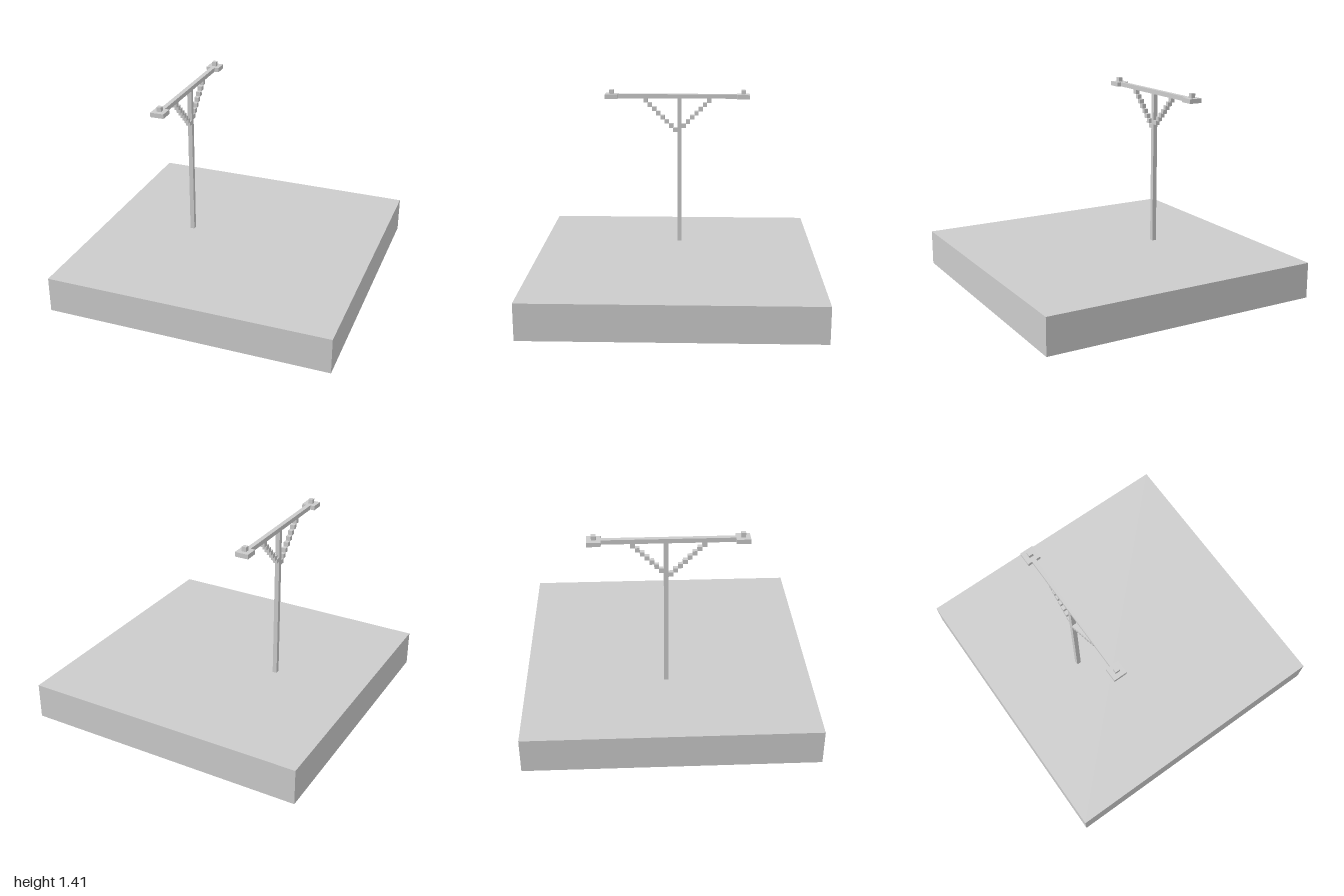
import * as THREE from 'three';

const V = 1 / 32; // one block of the grid
const material = new THREE.MeshStandardMaterial({ color: 0xcccccc, flatShading: true });

// Box given by its lowest corner and size, all in blocks
function block(name, [x, y, z], [w, h, d]) {
  const mesh = new THREE.Mesh(new THREE.BoxGeometry(w * V, h * V, d * V), material);
  mesh.name = name;
  mesh.position.set((x + w / 2) * V, (y + h / 2) * V, (z + d / 2) * V);
  return mesh;
}

export function createModel() {
  const model = new THREE.Group();
  model.name = 'postOnSlab';
  const postX = -12;

  // Ground slab, post and crossbeam
  model.add(block('groundSlab', [-32, 0, -32], [64, 8.1, 64]));
  model.add(block('post', [postX, 8.1, -1], [1, 34.9, 1]));
  model.add(block('crossbeam', [postX, 43, -14], [1, 1, 28]));

  // Plate with a small knob at each end of the beam
  for (const [side, z] of [['front', 14], ['back', -17]]) {
    const end = new THREE.Group();
    end.name = side + 'BeamEnd';
    end.add(block('plate', [postX - 1, 43, z], [3, 1, 3]));
    end.add(block('knob', [postX, 44, z + 1], [1, 1, 1]));
    model.add(end);
  }

  // Stepped diagonal braces; the lowest back step is taken up by the post
  const frontBrace = new THREE.Group();
  const backBrace = new THREE.Group();
  frontBrace.name = 'frontBrace';
  backBrace.name = 'backBrace';
  for (let k = 0; k < 8; k++) {
    frontBrace.add(block('braceStep', [postX, 35 + k, k], [1, 1, 1]));
    if (k > 0) backBrace.add(block('braceStep', [postX, 35 + k, -1 - k], [1, 1, 1]));
  }
  model.add(frontBrace, backBrace);

  return model;
}
